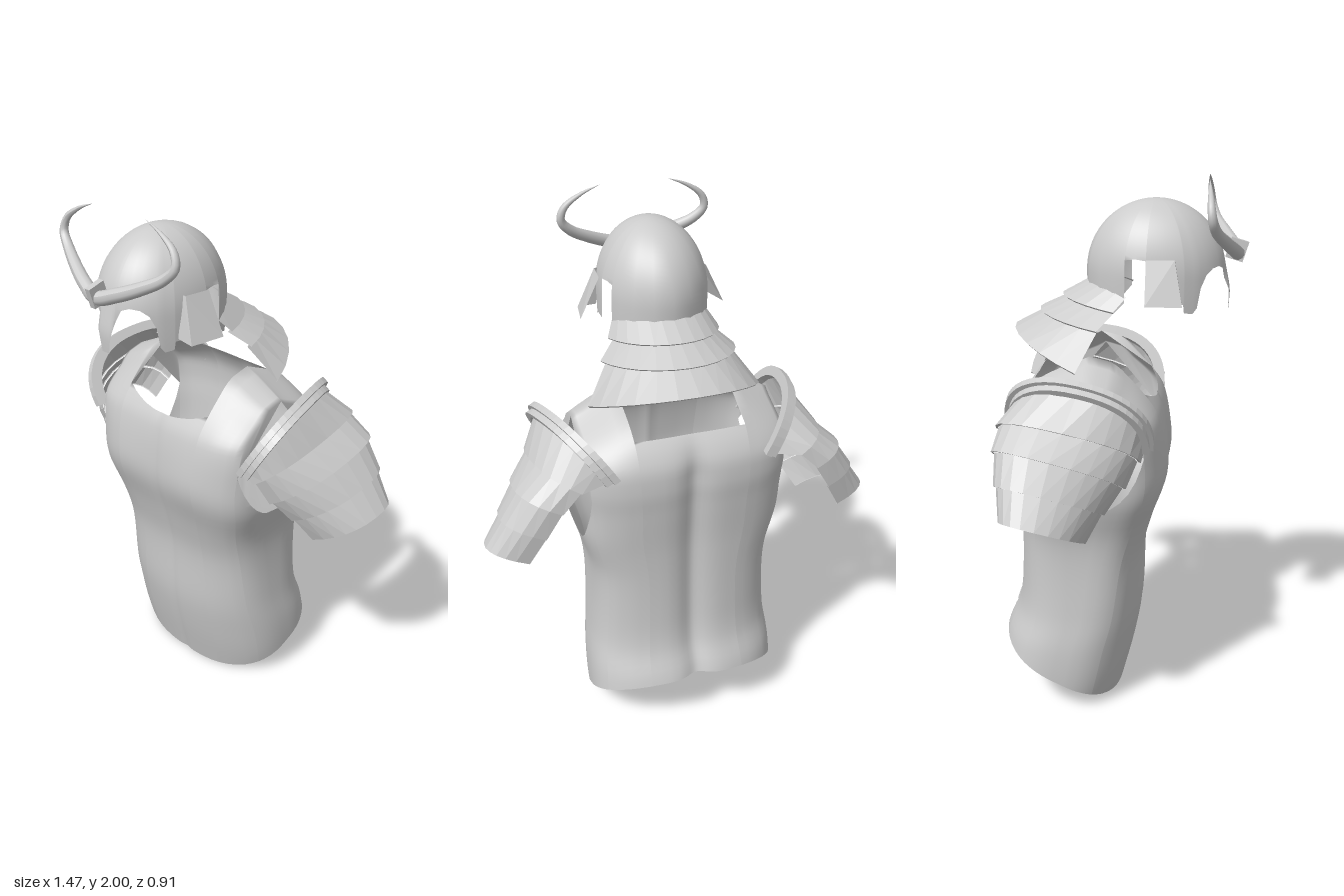
import * as THREE from 'three';
import { mergeVertices } from 'three/addons/utils/BufferGeometryUtils.js';

const V = (x, y, z) => new THREE.Vector3(x, y, z);
const MID = -0.015; // torso and helmet sit slightly off centre
const smooth = new THREE.MeshStandardMaterial({ color: 0xcccccc, side: THREE.DoubleSide });
const faceted = new THREE.MeshStandardMaterial({ color: 0xcccccc, side: THREE.DoubleSide, flatShading: true });

// surface through rows of points, welded where points coincide
function loft(rows, name, material) {
  const n = rows[0].length, index = [];
  for (let r = 0; r < rows.length - 1; r++)
    for (let c = 0; c < n - 1; c++) {
      const a = r * n + c, b = a + n;
      index.push(a, a + 1, b + 1, a, b + 1, b);
    }
  let geo = new THREE.BufferGeometry().setFromPoints(rows.flat());
  geo.setIndex(index);
  geo = mergeVertices(geo, 1e-5);
  geo.computeVertexNormals();
  const mesh = new THREE.Mesh(geo, material);
  mesh.name = name;
  return mesh;
}

// smooth interpolation through [position, value] knots
function profile(knots) {
  const slope = i => {
    const a = knots[Math.max(i - 1, 0)], b = knots[Math.min(i + 1, knots.length - 1)];
    return (b[1] - a[1]) / (b[0] - a[0]);
  };
  return y => {
    let i = 0;
    while (i < knots.length - 2 && y > knots[i + 1][0]) i++;
    const [y0, v0] = knots[i], [y1, v1] = knots[i + 1], h = y1 - y0;
    const t = THREE.MathUtils.clamp((y - y0) / h, 0, 1), t2 = t * t, t3 = t2 * t;
    return v0 * (2 * t3 - 3 * t2 + 1) + h * slope(i) * (t3 - 2 * t2 + t)
      + v1 * (3 * t2 - 2 * t3) + h * slope(i + 1) * (t3 - t2);
  };
}
const bump = (d, w) => Math.exp(-(d * d) / (w * w));
const step = THREE.MathUtils.smoothstep;

// cuirass: one wrapped sheet with hem, armholes, neckline and shoulder straps
function makeCuirass() {
  const width = profile([[0, .36], [.1, .375], [.25, .375], [.4, .358], [.6, .345], [.72, .352], [.87, .392], [1, .4], [1.1, .41], [1.38, .42]]);
  const front = profile([[0, .01], [.2, .06], [.35, .085], [.6, .095], [.75, .13], [.9, .175], [1, .18], [1.15, .16], [1.22, .12], [1.3, .05], [1.36, -.02], [1.38, -.1]]);
  const back = profile([[0, -.5], [.25, -.455], [.37, -.405], [.5, -.385], [.8, -.375], [1, -.385], [1.1, -.39], [1.2, -.37], [1.3, -.28], [1.38, -.1]]);
  const half = [0, .03, .07, .12, .2, .3, .4, .5, .501, .6, .7, .8, .86, .904, .905, .93, .955, .975, .988, .996, .999, 1];
  const across = [...half.slice(1).reverse().map(f => -f), ...half];
  const columns = [...across.map(f => [f, 1]), ...across.slice().reverse().map(f => [f, -1])];

  const rows = [], LOW = 22, HIGH = 26, UNDERARM = .84;
  for (let r = 0; r <= LOW + HIGH; r++) {
    rows.push(columns.map(([f, side]) => {
      const a = Math.abs(f), square = (1 - a ** 4) ** .25;
      let top = 1.38;
      if (a <= .5) top = side > 0 ? 1.195 + .18 * a * a : 1.27;
      else if (a >= .905) top = UNDERARM + .21 * (square / .758) ** (side > 0 ? 3 : 6);
      const hem = .125 * (1 - side * (1 - a ** 2.5) ** .4);
      const level = 1 - (1 - (r - LOW) / HIGH) ** 1.3;
      let y = r <= LOW ? hem + (UNDERARM - hem) * r / LOW
        : Math.min(top, UNDERARM + (1.38 - UNDERARM) * level);
      // section is rounder at the hem and squarer at the chest
      const n = (side > 0 ? 2.5 : 2.6) + (side > 0 ? 1.5 : 1) * step(y, .2, .95);
      const depth = (1 - a ** n) ** (1 / n);
      const x = f * width(y), zf = front(y), zb = back(y), mid = (zf + zb) / 2;
      let z = mid + side * depth * (zf - zb) / 2;
      const fade = 1 - step(y, 1.1, 1.3);
      if (side > 0) // chest muscles and centre line
        z += depth * fade * (.008 * bump(Math.abs(x) - .17, .1) * bump(y - .97, .12) - .006 * bump(x, .02));
      else // spine groove
        z += fade * .03 * bump(x, .05);
      y -= Math.max(0, Math.abs(x) - .21) * .5 * step(y, 1.1, 1.38);
      return V(x, y, z);
    }));
  }
  return loft(rows, 'cuirass', smooth);
}

// helmet bowl with nose guard, eye openings, cheek plates and ear notches
function makeBowl() {
  const rim = [[0, 1.52], [5, 1.52], [7, 1.56], [10, 1.6], [11, 1.64], [17, 1.68], [25, 1.69], [35, 1.685], [43, 1.665], [49, 1.62], [52, 1.55],
    [56, 1.53], [64, 1.535], [65, 1.565], [80, 1.57], [95.9, 1.57], [96, 1.72], [105, 1.725], [113.9, 1.72], [114, 1.57], [125, 1.525], [140, 1.505], [160, 1.5], [180, 1.5]];
  const columns = [...rim.slice(1).reverse().map(([d, y]) => [-d, y]), ...rim];
  // shared rings clipped at the rim keep the notch edges clean
  const rows = [], N = 30, last = Math.acos(-.16 / .26);
  for (let r = 0; r <= N; r++)
    rows.push(columns.map(([deg, low]) => {
      const a = Math.min(last * r / N, Math.acos((low - 1.66) / .26)), d = deg * Math.PI / 180;
      const rad = a > Math.PI / 2 ? 1 - .15 * (1 - Math.sin(a)) : Math.sin(a);
      const flare = Math.abs(deg) < 10.5 ? .02 * step(a, 1.4, 1.9) : 0;
      return V(.2 * rad * Math.sin(d), 1.66 + .26 * Math.cos(a), .125 + .255 * rad * Math.cos(d) + flare);
    }));
  return loft(rows, 'helmetBowl', smooth);
}

// neck guard edges: back z, back y, side x, side z, side y
function makeNeckGuard() {
  const group = new THREE.Group();
  group.name = 'neckGuard';
  const edges = [[-.10, 1.64, .18, .03, 1.59], [-.22, 1.575, .21, -.015, 1.54], [-.305, 1.52, .255, -.07, 1.48], [-.4, 1.455, .325, -.14, 1.345]];
  const end = 78 * Math.PI / 180;
  const arc = ([zb, yb, xs, zs, ys], shrink = 0, drop = 0) => Array.from({ length: 13 }, (_, i) => {
    const a = end * (i / 6 - 1), k = (Math.cos(a) - Math.cos(end)) / (1 - Math.cos(end));
    return V((xs - shrink) * Math.sin(a) / Math.sin(end), ys + (yb - ys) * k - drop, zs + (zb + shrink - zs) * k);
  });
  for (let k = 0; k < 3; k++) {
    const inset = k ? .02 : 0;
    group.add(loft([arc(edges[k], inset, inset / 3), arc(edges[k + 1]), arc(edges[k + 1], .006, .006)], 'neckLame', faceted));
  }
  return group;
}

// tapered horn crest swept through the brow
function makeHorns() {
  const side = [[.08, 1.75, .405], [.17, 1.788, .372], [.242, 1.828, .342], [.28, 1.872, .328], [.267, 1.92, .322], [.205, 1.965, .318], [.13, 1.995, .315]];
  const curve = new THREE.CatmullRomCurve3([
    ...side.slice().reverse().map(([x, y, z]) => V(-x, y, z)), V(0, 1.726, .422), ...side.map(p => V(...p))]);
  const S = 72, R = 10, geo = new THREE.TubeGeometry(curve, S, .026, R);
  const pos = geo.attributes.position, p = V();
  for (let i = 0; i <= S; i++) {
    const c = curve.getPointAt(i / S), k = 1 - Math.abs(2 * i / S - 1) ** 2;
    for (let j = 0; j <= R; j++) {
      const id = i * (R + 1) + j;
      p.fromBufferAttribute(pos, id).sub(c).multiplyScalar(k).add(c);
      pos.setXYZ(id, p.x, p.y, p.z);
    }
  }
  geo.computeVertexNormals();
  const horns = new THREE.Mesh(geo, smooth);
  horns.name = 'hornCrest';
  return horns;
}

// flared plate beside the cheek
function makeEarFlap(s) {
  const row = pts => pts.map(([x, y, z]) => V(s * x, y, z));
  return loft([
    row([[.175, 1.725, .2], [.195, 1.725, .2], [.205, 1.725, .1]]),
    row([[.185, 1.575, .225], [.255, 1.57, .23], [.278, 1.575, .1]]),
  ], 'earFlap', faceted);
}

// shoulder guard: each edge is a rounded arch through front, top and back points
function makeShoulderGuard(s) {
  const group = new THREE.Group();
  group.name = s > 0 ? 'leftShoulderGuard' : 'rightShoulderGuard';
  const edges = [
    [V(.39, 1.09, .13), V(.465, 1.33, -.11), V(.29, 1.17, -.39)],
    [V(.42, 1.05, .1), V(.54, 1.19, -.16), V(.41, 1.16, -.41)],
    [V(.46, .965, .05), V(.615, 1.11, -.195), V(.48, 1.09, -.41)],
    [V(.51, .885, -.02), V(.675, 1.01, -.215), V(.54, .99, -.395)],
    [V(.565, .8, -.08), V(.735, .91, -.23), V(.6, .885, -.37)],
  ];
  const arc = ([f, t, b], scale = 1, shift = 0, n = 12) => {
    const c = f.clone().add(b).multiplyScalar(.5);
    const full = v => Math.sign(v) * Math.abs(v) ** .86;
    return Array.from({ length: n + 1 }, (_, i) => {
      const a = Math.PI * i / n;
      const p = f.clone().sub(c).multiplyScalar(full(Math.cos(a)) * scale)
        .addScaledVector(t.clone().sub(c), full(Math.sin(a)) * scale).add(c);
      p.x += .85 * shift;
      p.y -= .5 * shift;
      p.x *= s;
      return p;
    });
  };
  for (let k = 0; k < 4; k++)
    group.add(loft([arc(edges[k], k ? .95 : .93), arc(edges[k + 1]), arc(edges[k + 1], .97)], 'shoulderLame', faceted));
  // stepped collar ridge: outer scale, inner scale, start, end along the arm
  for (const [o, i, a, b] of [[1.05, .89, -.02, .005], [.99, .89, .005, .03]]) {
    const section = [[i, a], [o, a], [o, b], [i, b], [i, a]];
    group.add(loft(section.map(([r, d]) => arc(edges[0], r, d, 24)), 'collarRidge', faceted));
  }
  return group;
}

export function createModel() {
  const model = new THREE.Group();
  model.name = 'armour';
  const body = makeCuirass();
  body.position.x = MID;

  const helmet = new THREE.Group();
  helmet.name = 'helmet';
  helmet.position.x = MID;
  const clasp = new THREE.Mesh(new THREE.BoxGeometry(.024, .075, .065), smooth);
  clasp.name = 'crestClasp';
  clasp.position.set(0, 1.738, .42);
  clasp.rotation.x = .3;
  helmet.add(makeBowl(), makeNeckGuard(), makeHorns(), clasp, makeEarFlap(1), makeEarFlap(-1));

  model.add(body, helmet, makeShoulderGuard(1), makeShoulderGuard(-1));
  return model;
}
